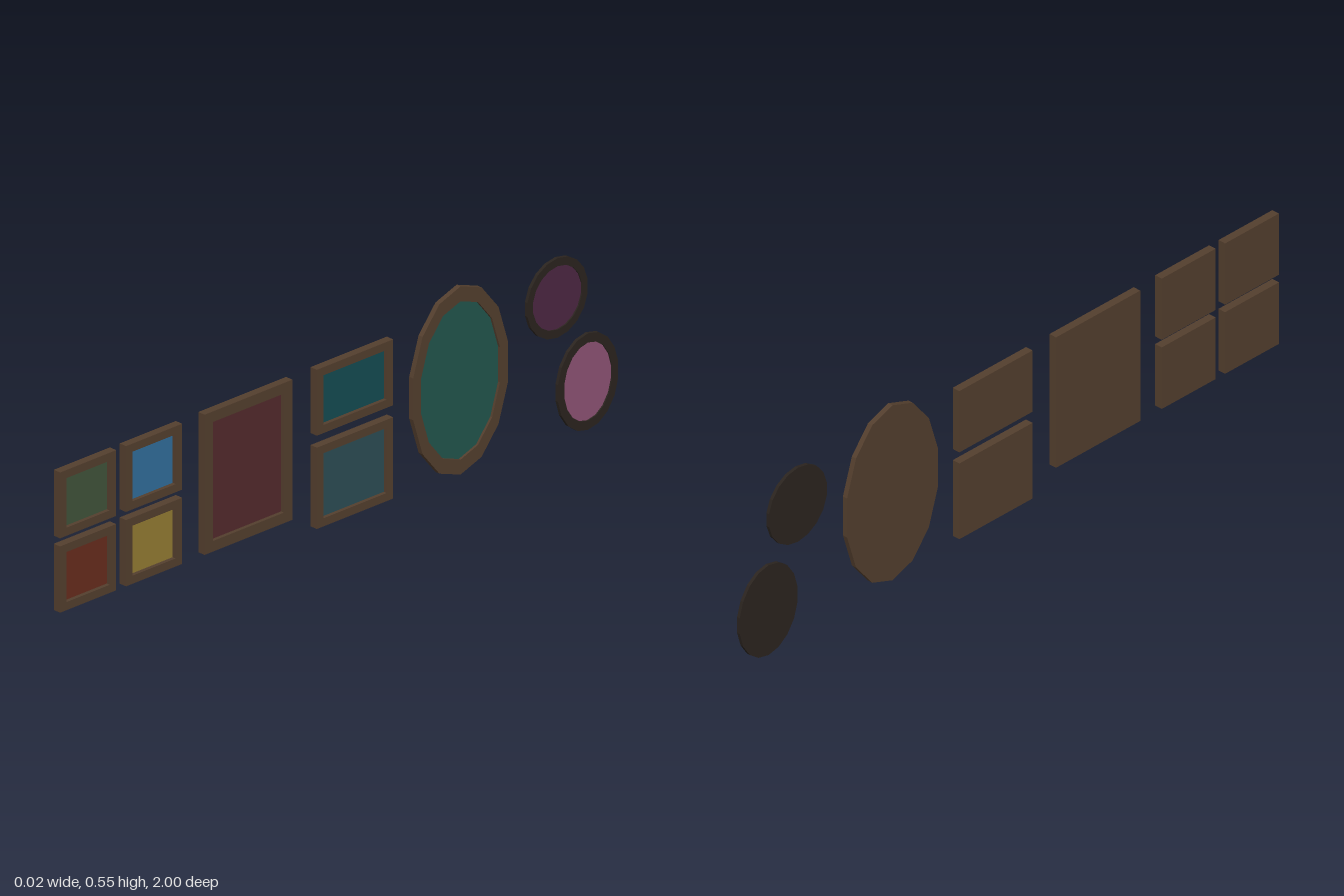
import * as THREE from 'three';

const BROWN = 0x543f2e, DARK = 0x2b241f;

// Corner points of a rectangle of half sizes a, b
const rectPoints = (a, b) => [[-a, -b], [a, -b], [a, b], [-a, b]].map(p => new THREE.Vector2(...p));

// Faceted oval with a corner at the top
const ovalPoints = (a, b, sides) => Array.from({ length: sides }, (_, i) => {
  const t = Math.PI / 2 + i * 2 * Math.PI / sides;
  return new THREE.Vector2(a * Math.cos(t), b * Math.sin(t));
});

function material(color) {
  return new THREE.MeshStandardMaterial({ color, flatShading: true });
}

// A solid back, a raised frame ring and a picture panel set into it
function framedPicture({ name, outer, inner, back, front, recess, z, y, color, frameColor }) {
  const group = new THREE.Group();
  group.name = name;
  const panelDepth = front - back - recess;
  const add = (part, shape, depth, start, c) => {
    const geo = new THREE.ExtrudeGeometry(shape, { depth, bevelEnabled: false });
    geo.translate(0, 0, start);
    const mesh = new THREE.Mesh(geo, material(c));
    mesh.name = part;
    group.add(mesh);
  };
  const ring = new THREE.Shape(outer);
  ring.holes.push(new THREE.Path(inner));
  add('frame', ring, front - back, back, frameColor);
  add('backing', new THREE.Shape(inner), panelDepth * 0.5, back, frameColor);
  add('picture', new THREE.Shape(inner), panelDepth * 0.5, back + panelDepth * 0.5, color);
  // pictures look towards +x
  group.rotation.y = Math.PI / 2;
  group.position.set(0, y, z);
  return group;
}

export function createModel() {
  const model = new THREE.Group();
  model.name = 'pictureWall';

  // Rectangular frames: name, z range, y range, border, picture colour
  const rects = [
    ['greenPicture', 0.80, 1.00, 0.298, 0.485, 0.023, 0x41543a],
    ['rustPicture', 0.80, 1.00, 0.087, 0.275, 0.023, 0x682c1d],
    ['bluePicture', 0.565, 0.765, 0.298, 0.485, 0.023, 0x316f9c],
    ['yellowPicture', 0.565, 0.765, 0.087, 0.275, 0.023, 0x957d33],
    ['largeMaroonPicture', 0.172, 0.485, 0.087, 0.485, 0.03, 0x542a2c],
    ['tealPicture', -0.187, 0.085, 0.298, 0.485, 0.023, 0x144c53],
    ['slatePicture', -0.187, 0.085, 0.033, 0.264, 0.023, 0x2d4e55],
  ];
  for (const [name, z0, z1, y0, y1, border, color] of rects) {
    const a = (z1 - z0) / 2, b = (y1 - y0) / 2;
    model.add(framedPicture({
      name, color, frameColor: BROWN,
      outer: rectPoints(a, b), inner: rectPoints(a - border, b - border),
      back: -0.0118, front: 0.0118, recess: 0.011,
      z: (z0 + z1) / 2, y: (y0 + y1) / 2,
    }));
  }

  // Oval frames
  const ovals = [
    { name: 'largeOvalPicture', z: -0.434, y: 0.287, r: [0.173, 0.267], ri: [0.144, 0.225], sides: 14,
      back: -0.0105, front: 0.0045, recess: 0.007, color: 0x22564e, frameColor: BROWN },
    { name: 'plumOvalPicture', z: -0.783, y: 0.409, r: [0.109, 0.113], ri: [0.088, 0.09], sides: 18,
      back: -0.0085, front: 0.001, recess: 0.004, color: 0x4d2743, frameColor: DARK },
    { name: 'pinkOvalPicture', z: -0.892, y: 0.137, r: [0.109, 0.137], ri: [0.086, 0.111], sides: 18,
      back: -0.0085, front: 0.001, recess: 0.004, color: 0x905476, frameColor: DARK },
  ];
  for (const o of ovals) {
    model.add(framedPicture({
      ...o, outer: ovalPoints(...o.r, o.sides), inner: ovalPoints(...o.ri, o.sides),
    }));
  }
  return model;
}
